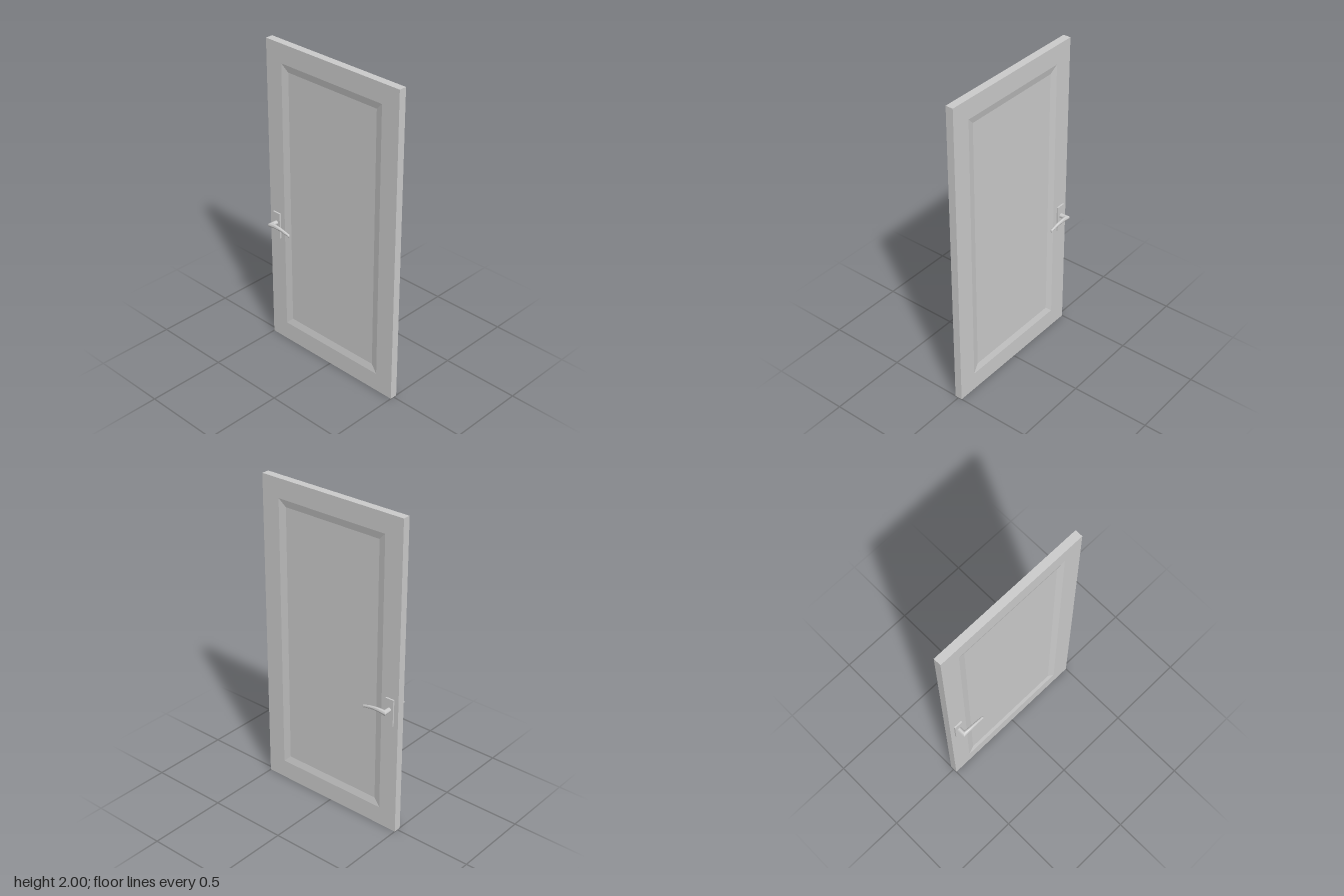
import * as THREE from 'three';
import { toCreasedNormals } from 'three/addons/utils/BufferGeometryUtils.js';

const material = new THREE.MeshStandardMaterial({ color: 0xcccccc });

// Skins a list of rings (arrays of Vector3, counter-clockwise about the path) and caps both ends.
function loft(rings, crease) {
  const n = rings[0].length;
  const points = [];
  const index = [];
  rings.forEach((ring) => ring.forEach((p) => points.push(p.x, p.y, p.z)));
  for (let r = 0; r < rings.length - 1; r++) {
    for (let i = 0; i < n; i++) {
      const j = (i + 1) % n;
      const a = r * n + i, b = r * n + j, c = a + n, d = b + n;
      index.push(a, b, d, a, d, c);
    }
  }
  const last = (rings.length - 1) * n;
  for (let i = 1; i < n - 1; i++) {
    index.push(0, i + 1, i);
    index.push(last, last + i, last + i + 1);
  }
  const geometry = new THREE.BufferGeometry();
  geometry.setAttribute('position', new THREE.Float32BufferAttribute(points, 3));
  geometry.setIndex(index);
  return toCreasedNormals(geometry, crease);
}

function addMesh(parent, name, geometry) {
  const mesh = new THREE.Mesh(geometry, material);
  mesh.name = name;
  parent.add(mesh);
  return mesh;
}

// Door leaf: concentric rectangles from the back panel, round the edge, to the front panel.
function doorGeometry() {
  const t = 0.024, depth = 0.01;
  const profile = [
    [0.335, 0.835, t - depth], // sunk panel
    [0.38, 0.88, t],           // top of the sloped moulding
    [0.5, 1, t],               // outer edge
  ];
  const rect = ([w, h, z]) => [[-w, -h], [w, -h], [w, h], [-w, h]]
    .map(([x, y]) => new THREE.Vector3(x, y + 1, z));
  const back = profile.map(([w, h, z]) => rect([w, h, -z]));
  const front = profile.map(rect).reverse();
  return loft([...back, ...front], 0.1);
}

// Lever: round stem, mitred corner, then a tapering arched grip.
function leverGeometry() {
  const sides = 20;
  const section = (x, y, z, ux, uz, height) => Array.from({ length: sides }, (_, i) => {
    const a = (i / sides) * Math.PI * 2;
    return new THREE.Vector3(x + Math.cos(a) * ux, y + Math.sin(a) * height, z + Math.cos(a) * uz);
  });
  const r = 0.0145, x0 = -0.443, y0 = 0.827, z0 = 0.0755;
  const rings = [
    section(x0, y0, 0.03, r, 0, r),
    section(x0, y0, z0, r, -r, r + 0.001),
  ];
  const path = new THREE.CatmullRomCurve3([
    new THREE.Vector3(x0, y0, z0),
    new THREE.Vector3(-0.405, 0.832, 0.078),
    new THREE.Vector3(-0.35, 0.827, 0.0775),
    new THREE.Vector3(-0.292, 0.814, 0.0765),
  ]);
  for (let i = 4; i <= 16; i++) {
    const t = i / 16;
    const p = path.getPoint(t);
    rings.push(section(p.x, p.y, p.z, 0, -THREE.MathUtils.lerp(0.0125, 0.0075, t),
      THREE.MathUtils.lerp(0.0145, 0.009, t)));
  }
  // softened tip
  rings.push(section(-0.289, 0.8133, 0.0765, 0, -0.005, 0.006));
  return loft(rings, 0.6);
}

function createHandle(name) {
  const handle = new THREE.Group();
  handle.name = name;
  const plate = addMesh(handle, 'handlePlate', new THREE.BoxGeometry(0.057, 0.172, 0.014));
  plate.position.set(-0.442, 0.811, 0.027);
  addMesh(handle, 'lever', leverGeometry());
  return handle;
}

export function createModel() {
  const door = new THREE.Group();
  door.name = 'door';
  addMesh(door, 'doorLeaf', doorGeometry());
  const backHandle = createHandle('backHandle');
  backHandle.scale.z = -1;
  door.add(createHandle('frontHandle'), backHandle);
  return door;
}
